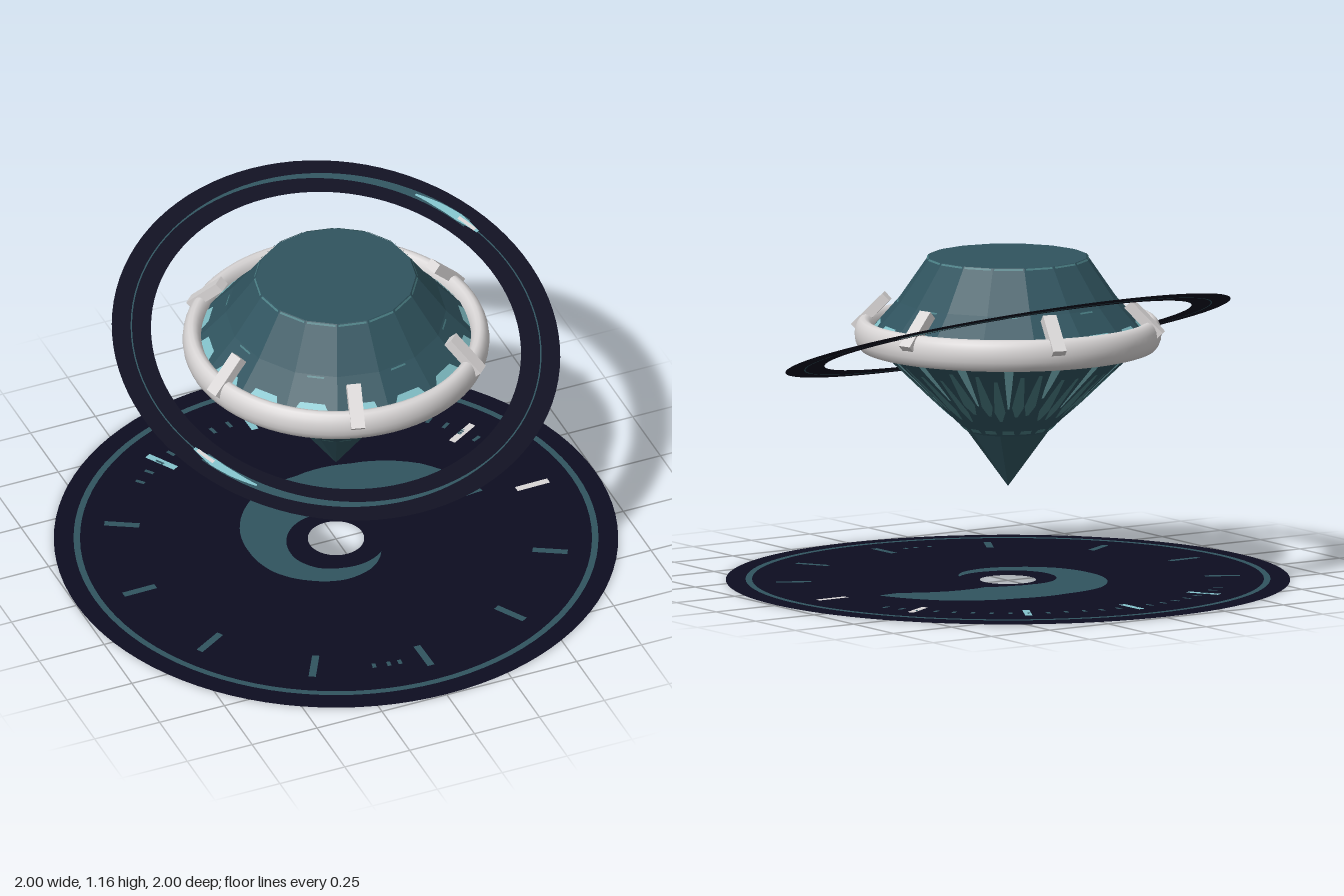
import * as THREE from 'three';

const paint = (name, color) =>
  Object.assign(new THREE.MeshStandardMaterial({ color, side: THREE.DoubleSide }), { name });

const SIDES = 16;
const STEP = (Math.PI * 2) / SIDES;
const DEG = Math.PI / 180;

// Gem outline, bottom to top: tip, lower cone, pavilion, girdle, crown, table
const PROFILE = [[0, 0.34], [0.145, 0.54], [0.46, 0.835], [0.5, 0.885], [0.39, 1.01], [0.283, 1.165], [0, 1.165]];

// Small repeatable random numbers
function seeded(seed) {
  return () => (seed = (seed * 16807) % 2147483647) / 2147483647;
}

// Point on the faceted gem at angle a and height y, lifted slightly outward
function gemPoint(a, y) {
  let i = 0;
  while (i < 4 && y > PROFILE[i + 1][1]) i++;
  const [r0, y0] = PROFILE[i], [r1, y1] = PROFILE[i + 1];
  const r = r0 + ((r1 - r0) * (y - y0)) / (y1 - y0);
  const local = a - Math.floor(a / STEP) * STEP - STEP / 2;
  const flat = (r * Math.cos(STEP / 2)) / Math.cos(local) + 0.004;
  return [flat * Math.cos(a), y, flat * Math.sin(a)];
}

// Surface made of ribbons; each ribbon is a list of [left, right] point pairs
function ribbons(list) {
  const pos = [], index = [];
  for (const rows of list) {
    const base = pos.length / 3;
    rows.forEach(([p, q], i) => {
      pos.push(...p, ...q);
      const k = base + i * 2;
      if (i) index.push(k - 2, k, k - 1, k - 1, k, k + 1);
    });
  }
  const g = new THREE.BufferGeometry();
  g.setAttribute('position', new THREE.Float32BufferAttribute(pos, 3));
  g.setIndex(index);
  g.computeVertexNormals();
  return g;
}

// Flat curved band from angle a0 to a1 (degrees) with radii given by functions of t
function arcRows(a0, a1, inner, outer, y, n = 32) {
  return Array.from({ length: n + 1 }, (_, i) => {
    const t = i / n, a = (a0 + (a1 - a0) * t) * DEG;
    return [inner(t), outer(t)].map((r) => [r * Math.cos(a), y, r * Math.sin(a)]);
  });
}

// Radial tick of constant width
function tickRows(deg, r0, r1, w, y) {
  const c = Math.cos(deg * DEG), s = Math.sin(deg * DEG);
  return [r0, r1].map((r) => [-w / 2, w / 2].map((o) => [r * c - o * s, y, r * s + o * c]));
}

// Piecewise linear curve through evenly spaced values
const through = (v) => (t) => {
  const f = t * (v.length - 1), i = Math.min(Math.floor(f), v.length - 2);
  return v[i] + (v[i + 1] - v[i]) * (f - i);
};

export function createModel() {
  const mats = {
    navy: paint('midnight navy', 0x0d0d20),
    teal: paint('deep teal', 0x30545f),
    mid: paint('mid teal', 0x4a7e84),
    cyan: paint('pale cyan', 0x84c4cc),
    white: paint('pearl white', 0xd9d6d6),
  };
  const model = new THREE.Group();
  const add = (parent, name, geometry, mat) => {
    const m = new THREE.Mesh(geometry, mats[mat]);
    m.name = name;
    parent.add(m);
    return m;
  };
  const group = (name) => {
    const g = new THREE.Group();
    g.name = name;
    model.add(g);
    return g;
  };

  // Faceted gem
  const gem = group('gem');
  const body = new THREE.LatheGeometry(PROFILE.map(([r, y]) => new THREE.Vector2(r, y)), SIDES).toNonIndexed();
  body.computeVertexNormals();
  add(gem, 'gemBody', body, 'teal');

  // Streaks and blotches on the pavilion, glints near the girdle
  const rand = seeded(77);
  const streaks = [], blotches = [], glints = [], edges = [];
  for (let k = 0; k < SIDES; k++) {
    const at = (u, w, y) => [gemPoint((k + u - w) * STEP, y), gemPoint((k + u + w) * STEP, y)];
    const low = 0.64 + rand() * 0.06;
    streaks.push([at(0.5, 0.1, 0.83), at(0.5, 0.08, 0.75), at(0.5, 0.03, low)]);
    for (const u of [0.2, 0.8]) {
      const d = rand() * 0.04;
      blotches.push([at(u, 0.04, 0.8 - d), at(u, 0.1, 0.74 - d), at(u, 0.19, 0.67 - d), at(u, 0.05, 0.63 - d)]);
    }
    glints.push([at(0.5, 0.3 + rand() * 0.12, 0.9), at(0.5, 0.25, 0.935)]);
    edges.push([at(0.5, 0.35, 0.548), at(0.5, 0.3, 0.562)]);
    if (k % 2) edges.push([at(0.5, 0.2, 1.003), at(0.5, 0.2, 1.008)]);
    edges.push([at(0.5, 0.45, 1.158), at(0.5, 0.45, 1.164)]);
  }
  add(gem, 'pavilionStreaks', ribbons(streaks), 'cyan');
  add(gem, 'pavilionBlotches', ribbons(blotches), 'mid');
  add(gem, 'girdleGlints', ribbons(glints), 'cyan');
  add(gem, 'facetEdges', ribbons(edges), 'mid');

  // Setting: oval-section band with six slanted prongs
  const setting = group('setting');
  const band = new THREE.TorusGeometry(0.51, 0.034, 16, 72).rotateX(Math.PI / 2).scale(1, 1.68, 1);
  add(setting, 'girdleBand', band, 'white').position.y = 0.888;
  for (let k = 0; k < 6; k++) {
    const prong = new THREE.BoxGeometry(0.16, 0.036, 0.05)
      .rotateZ(-Math.PI / 4).translate(0.493, 0.952, 0).rotateY(-(45 + k * 60) * DEG);
    add(setting, 'prong', prong, 'white');
  }

  // Tilted halo ring with a pair of tapering trails on both faces
  const halo = group('haloRing');
  halo.position.y = 0.88;
  halo.rotation.x = 0.298;
  add(halo, 'haloBand', new THREE.RingGeometry(0.66, 0.8, 96).rotateX(-Math.PI / 2), 'navy');
  const trails = [], heads = [], cores = [];
  for (const y of [-0.003, 0.003]) {
    trails.push(arcRows(0, 360, () => 0.728, () => 0.733, y, 96));
    for (const turn of [0, 180]) {
      trails.push(arcRows(turn - 28, turn - 130, (t) => 0.73 - 0.02 * (1 - t), (t) => 0.73 + 0.02 * (1 - t), y));
      const w = through([0.006, 0.017, 0.013, 0.004]);
      heads.push(arcRows(turn - 24, turn - 45, (t) => 0.73 - w(t), (t) => 0.73 + w(t), y * 1.4, 12));
      cores.push(arcRows(turn - 25, turn - 31, () => 0.721, () => 0.736, y * 1.7, 6));
    }
  }
  add(halo, 'haloTrails', ribbons(trails), 'teal');
  add(halo, 'trailHeads', ribbons(heads), 'cyan');
  add(halo, 'trailCores', ribbons(cores), 'white');

  // Floor dial with centre hole, painted on both faces
  const dial = group('dial');
  dial.position.y = 0.004;
  add(dial, 'dialPlate', new THREE.RingGeometry(0.1, 1, 96).rotateX(-Math.PI / 2), 'navy');
  const rim = [], swirl = [], marks = { white: [], cyan: [], teal: [] };
  const outer = through([0.59, 0.53, 0.44, 0.39, 0.38, 0.35, 0.32, 0.3, 0.27, 0.25, 0.22, 0.18]);
  const inner = through([0.5, 0.2, 0.16, 0.15, 0.16, 0.17, 0.18, 0.19, 0.19, 0.18, 0.18, 0.18]);
  for (const y of [-0.003, 0.003]) {
    rim.push(arcRows(0, 360, () => 0.907, () => 0.93, y, 96));
    swirl.push(arcRows(-5, -310, inner, outer, y, 66));
    for (let k = 0; k < 12; k++) {
      const mat = k < 2 ? 'white' : k < 5 ? 'cyan' : 'teal';
      marks[mat].push(tickRows(-1 - k * 30, 0.7, 0.825, 0.026, y));
    }
    for (let a = -20; a > -135; a -= 5) {
      if ((a + 1) % 30) marks.teal.push(tickRows(a - 1.5, 0.75, 0.785, 0.014, y));
    }
    for (const a of [96, 99, 103]) marks.teal.push(tickRows(a, 0.755, 0.78, 0.014, y));
  }
  add(dial, 'dialRim', ribbons(rim), 'teal');
  add(dial, 'dialSwirl', ribbons(swirl), 'teal');
  for (const mat in marks) add(dial, 'dialTicks', ribbons(marks[mat]), mat);

  return model;
}
